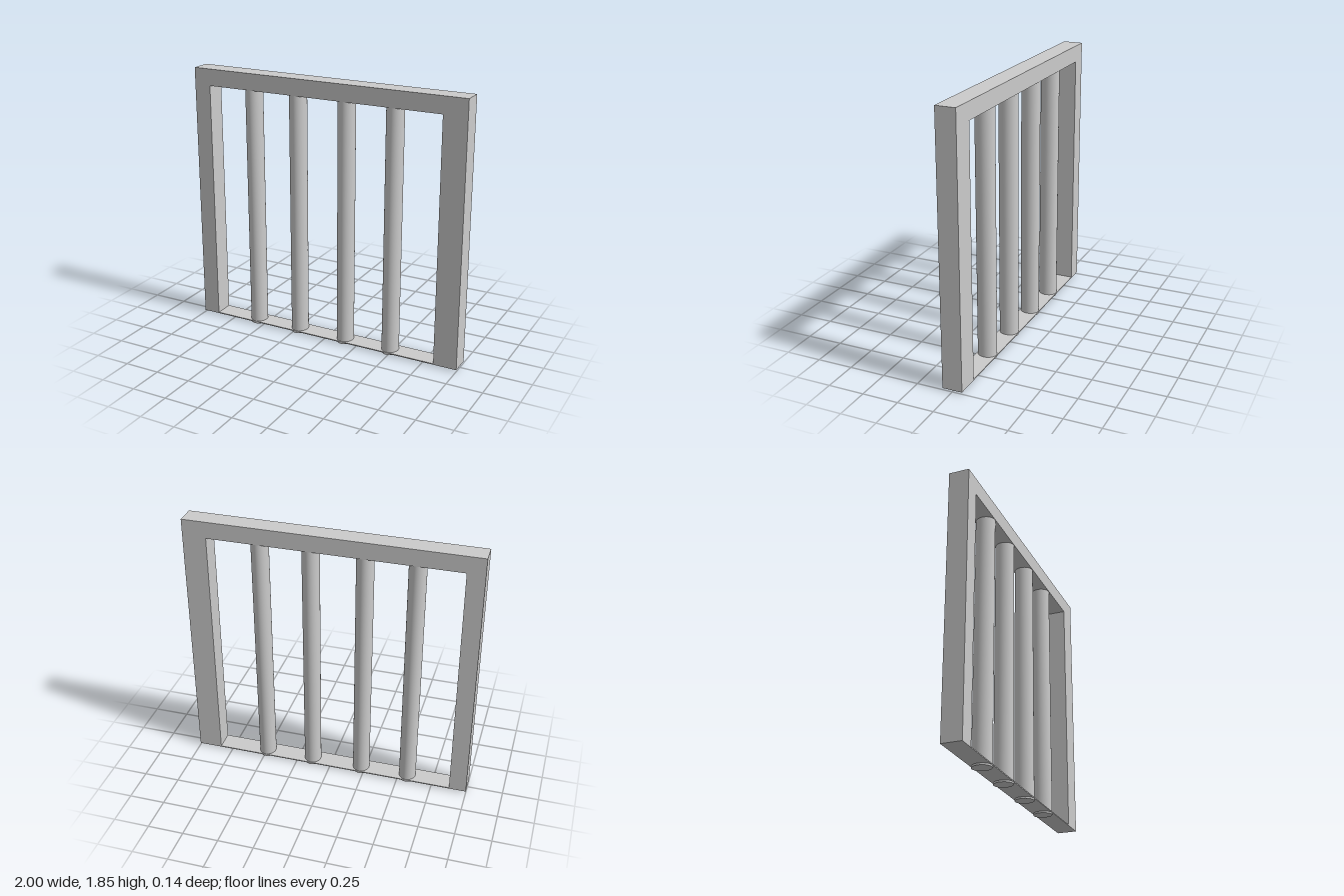
import * as THREE from 'three';

export function createModel() {
  const group = new THREE.Group();
  const material = new THREE.MeshStandardMaterial({ color: 0xcccccc });
  const depth = 0.138;

  // Rectangular frame: uneven posts, thick lintel and a very thin sill
  const outline = new THREE.Shape([
    new THREE.Vector2(-1, 0.012), new THREE.Vector2(1, 0.012),
    new THREE.Vector2(1, 1.85), new THREE.Vector2(-1, 1.85),
  ]);
  outline.holes.push(new THREE.Path([
    new THREE.Vector2(-0.88, 0.019), new THREE.Vector2(-0.88, 1.733),
    new THREE.Vector2(0.835, 1.733), new THREE.Vector2(0.835, 0.019),
  ]));
  const frameGeometry = new THREE.ExtrudeGeometry(outline, { depth, bevelEnabled: false });
  frameGeometry.translate(0, 0, -depth / 2);
  const frame = new THREE.Mesh(frameGeometry, material);
  frame.name = 'frame';
  group.add(frame);

  // Four upright bars, slightly oval, poking just below the sill
  const barHeight = 1.735;
  const barGeometry = new THREE.CylinderGeometry(0.059, 0.059, barHeight, 32);
  barGeometry.scale(1, 1, 0.066 / 0.059);
  [-0.565, -0.223, 0.141, 0.488].forEach((x, i) => {
    const bar = new THREE.Mesh(barGeometry, material);
    bar.name = `bar${i + 1}`;
    bar.position.set(x, barHeight / 2, 0);
    group.add(bar);
  });

  return group;
}
